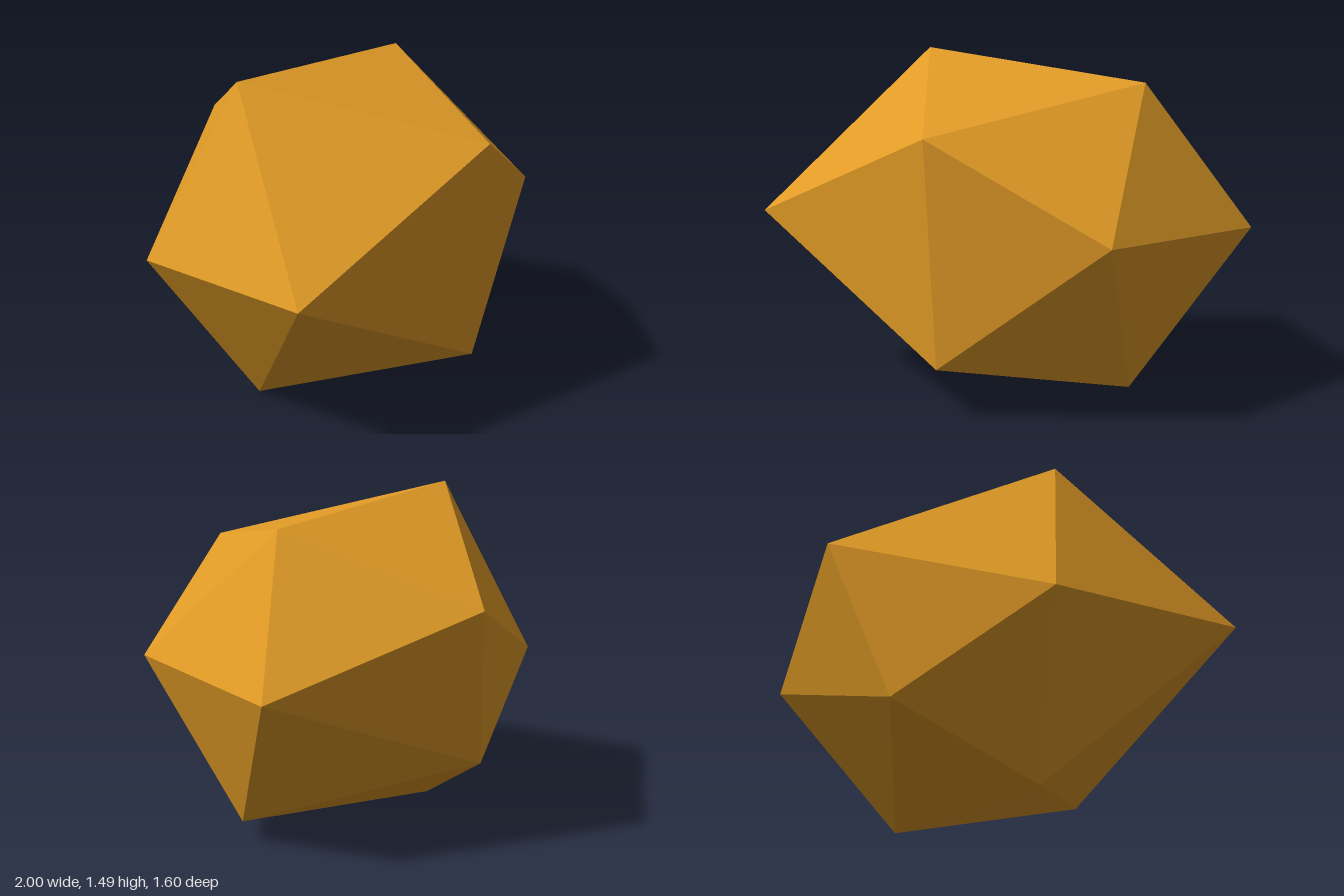
import * as THREE from 'three';

// Irregular twenty-sided stone: two poles joined by two staggered rings of five.
export function createModel() {
  const amber = new THREE.MeshStandardMaterial({ color: 0xe09a26 });
  amber.name = 'amber';

  const topPole = [-0.55, 1.485, -0.07];
  const bottomPole = [0.65, 0.095, 0.115];
  // Both rings run the same way round; lower[i] sits between upper[i] and upper[i + 1].
  const upper = [[0.605, 1.403, -0.07], [0.14, 1.078, -0.8], [-0.81, 0.69, -0.38], [-1, 0.773, 0.6], [0.06, 1.225, 0.797]];
  const lower = [[0.997, 0.768, -0.333], [-0.094, 0.33, -0.625], [-0.43, 0, -0.075], [0.07, 0.23, 0.735], [0.81, 0.81, 0.54]];

  const positions = [];
  const face = (a, b, c) => positions.push(...a, ...b, ...c);
  for (let i = 0; i < 5; i++) {
    const j = (i + 1) % 5;
    face(topPole, upper[i], upper[j]);
    face(upper[i], lower[i], upper[j]);
    face(lower[i], lower[j], upper[j]);
    face(bottomPole, lower[j], lower[i]);
  }

  // Unshared corners give each facet its own flat normal.
  const geometry = new THREE.BufferGeometry();
  geometry.setAttribute('position', new THREE.Float32BufferAttribute(positions, 3));
  geometry.computeVertexNormals();

  const stone = new THREE.Mesh(geometry, amber);
  stone.name = 'facetedStone';
  const group = new THREE.Group();
  group.name = 'stone';
  group.add(stone);
  return group;
}
